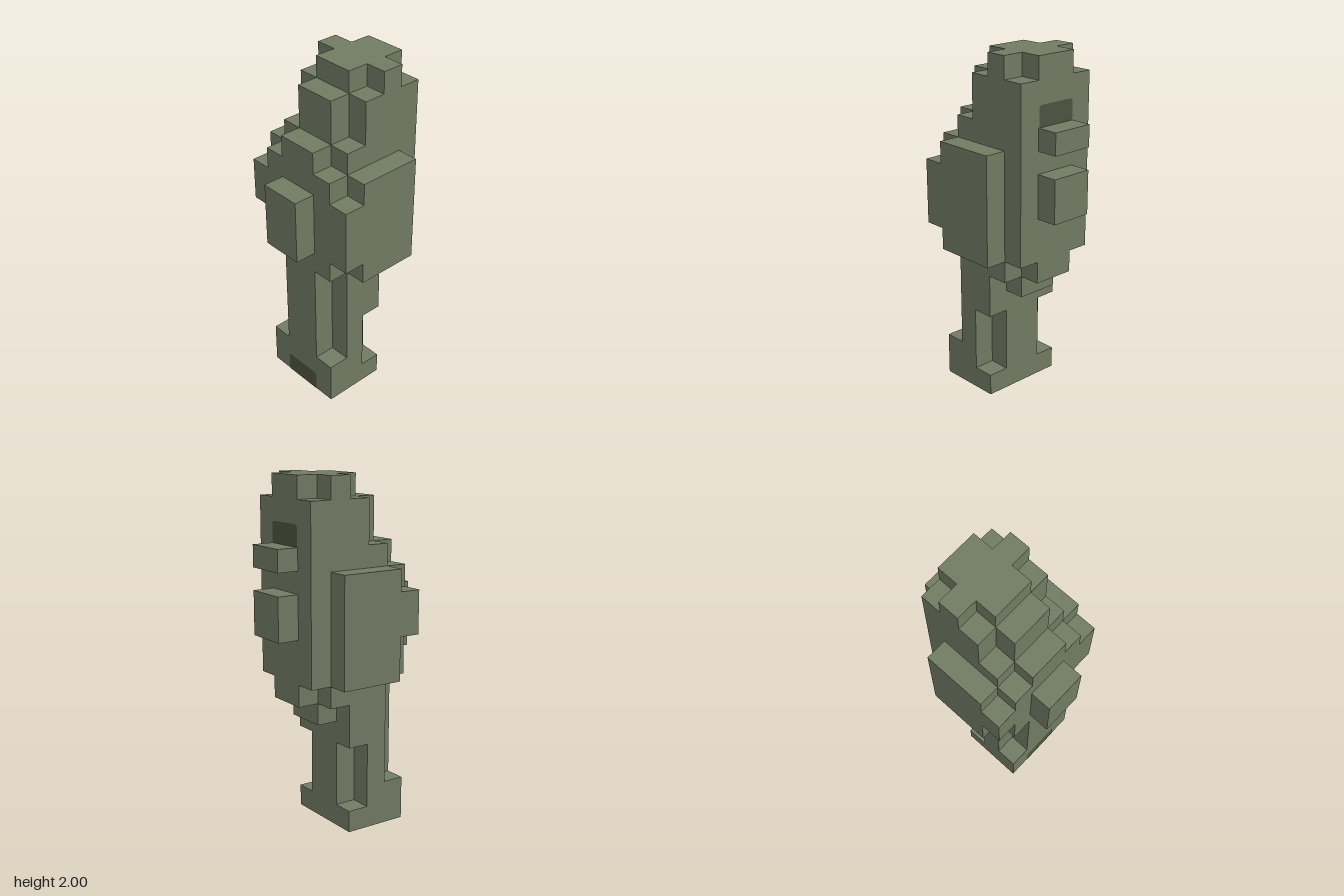
import * as THREE from 'three';

const U = 0.125; // size of one block cell

const stone = new THREE.MeshStandardMaterial({ color: 0x727c64 });
stone.name = 'mossy stone';
const shade = new THREE.MeshStandardMaterial({ color: 0x4d5540 });
shade.name = 'dark moss';

// Box between cell limits; z cells run 0 (back) to 7 (front)
function block(parent, name, [x0, x1], [y0, y1], [z0, z1]) {
  const geo = new THREE.BoxGeometry((x1 - x0) * U, (y1 - y0) * U, (z1 - z0) * U);
  const mesh = new THREE.Mesh(geo, stone);
  mesh.name = name;
  mesh.position.set((x0 + x1) / 2 * U, (y0 + y1) / 2 * U, ((z0 + z1) / 2 - 3.5) * U);
  parent.add(mesh);
}

// Same box on both sides of the body
function pair(parent, name, [x0, x1], y, z) {
  block(parent, name + 'Left', [x0, x1], y, z);
  block(parent, name + 'Right', [-x1, -x0], y, z);
}

// Flat patch with two rounded upper corners
function patch(parent, name, height) {
  const w = 0.122, r = 0.018;
  const s = new THREE.Shape();
  s.moveTo(-w, 0);
  s.lineTo(w, 0);
  s.lineTo(w, height - r);
  s.quadraticCurveTo(w, height, w - r, height);
  s.lineTo(-w + r, height);
  s.quadraticCurveTo(-w, height, -w, height - r);
  const mesh = new THREE.Mesh(new THREE.ShapeGeometry(s, 4), shade);
  mesh.name = name;
  parent.add(mesh);
  return mesh;
}

function section(root, name) {
  const g = new THREE.Group();
  g.name = name;
  root.add(g);
  return g;
}

export function createModel() {
  const root = new THREE.Group();
  root.name = 'blockStatue';

  // Pedestal with cut-away rear corners
  const base = section(root, 'pedestal');
  block(base, 'plinth', [-2, 2], [0, 1], [3, 6]);
  block(base, 'plinthStep', [-2, 2], [1, 2], [4, 6]);
  block(base, 'plinthRear', [-1, 1], [1, 2], [3, 4]);

  // Lower body with a raised front strip and rear notches
  const lower = section(root, 'lowerBody');
  block(lower, 'frontStrip', [-1, 1], [2, 7], [5, 6]);
  block(lower, 'shaft', [-2, 2], [2, 4], [4, 5]);
  block(lower, 'shaftRear', [-1, 1], [2, 4], [3, 4]);
  block(lower, 'upperShaft', [-2, 2], [4, 7], [3, 5]);
  block(lower, 'rearStep', [-1, 1], [5, 6], [2, 3]);
  block(lower, 'waistStep', [-2, 2], [6, 7], [2, 3]);
  block(lower, 'waistRear', [-1, 1], [6, 7], [1, 2]);

  // Torso, chest plate and back ridges
  const torso = section(root, 'torso');
  block(torso, 'trunk', [-2, 2], [7, 12], [1, 6]);
  block(torso, 'chestPlate', [-1, 1], [8, 11], [6, 7]);
  block(torso, 'lowerBackRidge', [-1, 1], [9, 11], [0, 1]);
  block(torso, 'upperBackRidge', [-1, 1], [12, 13], [0, 1]);
  block(torso, 'shoulders', [-2, 2], [12, 13], [1, 5]);
  block(torso, 'chin', [-1, 1], [12, 13], [5, 6]);

  // Arms, with forearms of different lengths
  const arms = section(root, 'arms');
  pair(arms, 'arm', [2, 3], [7, 12], [2, 5]);
  block(arms, 'forearmLeft', [2, 3], [8, 11], [5, 6]);
  block(arms, 'forearmRight', [-3, -2], [9, 11], [5, 6]);

  // Head with a cross-shaped crown
  const head = section(root, 'head');
  block(head, 'skull', [-2, 2], [13, 15], [1, 4]);
  block(head, 'face', [-1, 1], [13, 15], [4, 5]);
  block(head, 'crown', [-1, 1], [15, 16], [1, 4]);
  pair(head, 'crownSide', [1, 2], [15, 16], [2, 3]);

  // Dark patches on the foot, underside and back of the head
  patch(base, 'footPatch', 0.12).position.set(0, 0, 2.5 * U + 0.002);
  const under = patch(base, 'undersidePatch', 0.245);
  under.geometry.rotateZ(Math.PI).rotateX(Math.PI / 2);
  under.position.set(0, -0.002, 2.5 * U);
  const nape = patch(head, 'napePatch', 0.245);
  nape.geometry.rotateY(Math.PI);
  nape.position.set(0, 12 * U, -2.5 * U - 0.002);

  return root;
}
